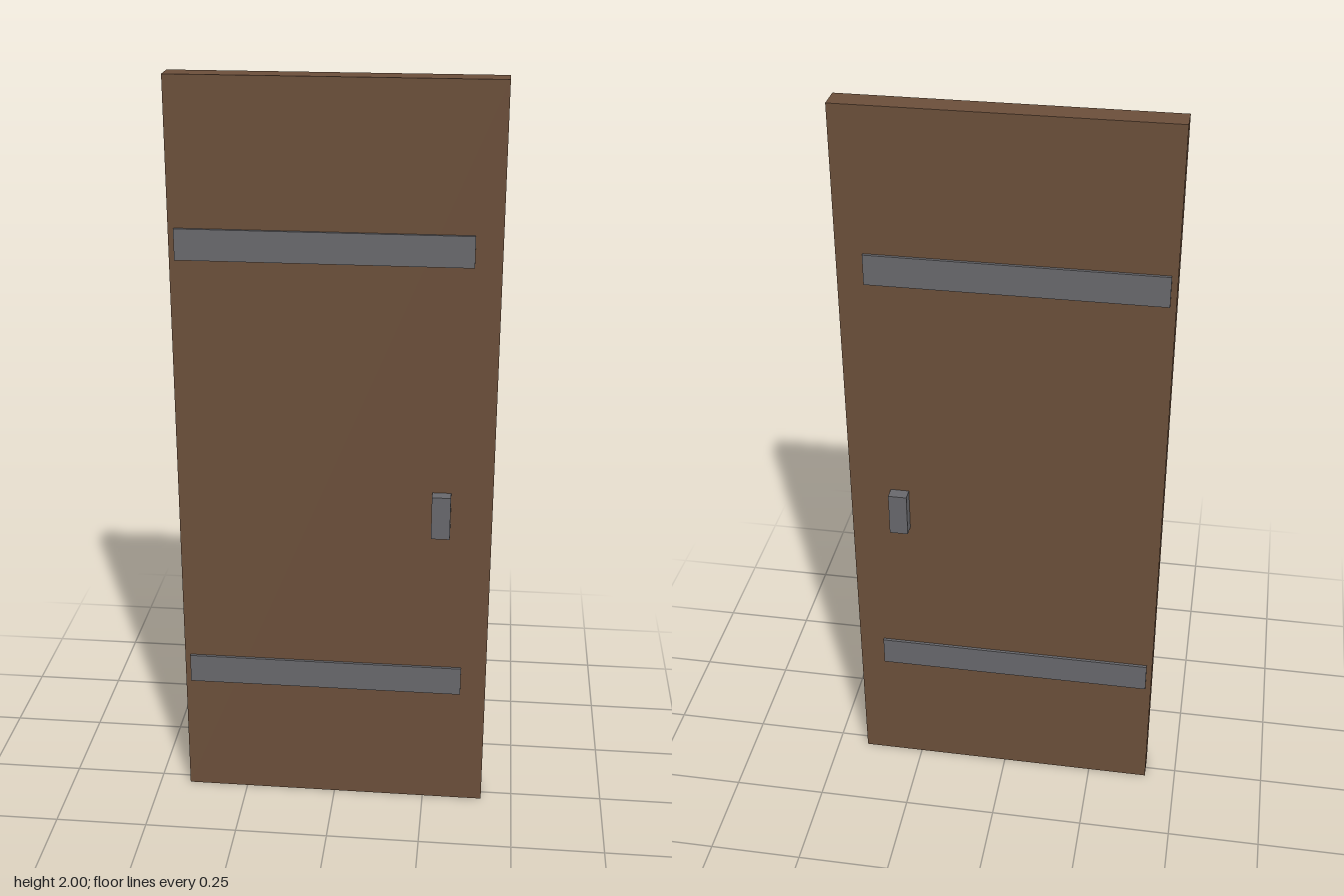
import * as THREE from 'three';

export function createModel() {
  const wood = new THREE.MeshStandardMaterial({ color: 0x6b4f3a });
  wood.name = 'brown wood';
  const iron = new THREE.MeshStandardMaterial({ color: 0x68686c });
  iron.name = 'grey iron';

  const door = new THREE.Group();
  door.name = 'door';

  // Box given by its lower and upper corners
  const addBox = (name, material, [x0, y0, z0], [x1, y1, z1]) => {
    const mesh = new THREE.Mesh(new THREE.BoxGeometry(x1 - x0, y1 - y0, z1 - z0), material);
    mesh.position.set((x0 + x1) / 2, (y0 + y1) / 2, (z0 + z1) / 2);
    mesh.name = name;
    door.add(mesh);
  };

  const face = 0.033; // half the thickness of the panel
  addBox('doorPanel', wood, [-0.415, 0, -face], [0.415, 2, face]);

  // Fittings project from both faces of the panel
  const addFitting = (name, x0, x1, y0, y1, depth) => {
    addBox(name + 'Front', iron, [x0, y0, face], [x1, y1, face + depth]);
    addBox(name + 'Back', iron, [x0, y0, -face - depth], [x1, y1, -face]);
  };
  addFitting('lowerStrap', -0.4, 0.347, 0.34, 0.42, 0.008);
  addFitting('upperStrap', -0.4, 0.347, 1.545, 1.625, 0.008);
  addFitting('handle', 0.257, 0.306, 0.82, 0.938, 0.033);

  return door;
}
